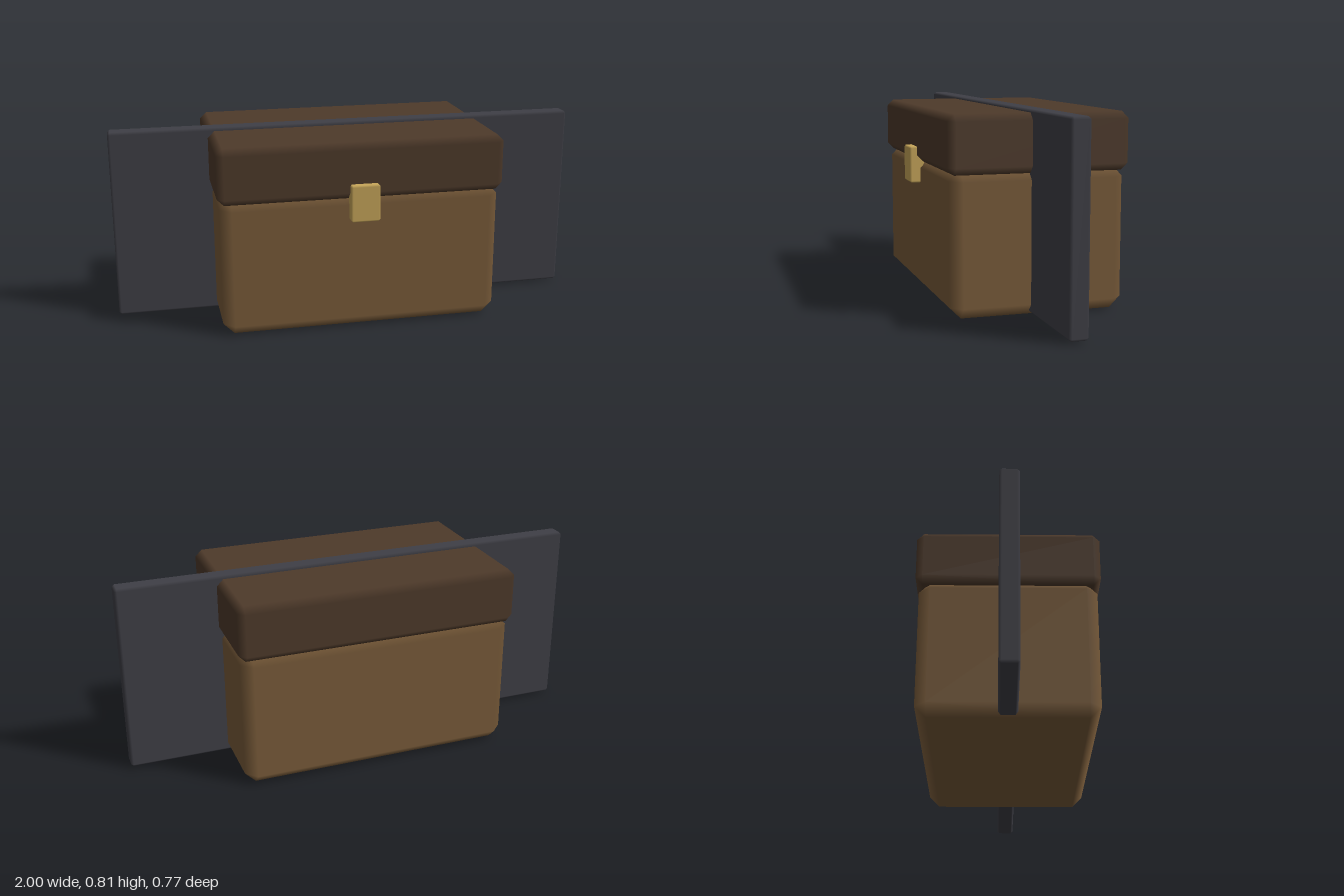
import * as THREE from 'three';

// Box with a single-segment bevel: flat faces, bevel normals blending between them
function bevelBox(w, h, d, c) {
  const geo = new THREE.BoxGeometry(w, h, d);
  const pos = geo.attributes.position, nor = geo.attributes.normal;
  const index = Array.from(geo.index.array);
  const lookup = {};
  for (let i = 0; i < pos.count; i++) {
    const p = new THREE.Vector3().fromBufferAttribute(pos, i).toArray();
    const n = new THREE.Vector3().fromBufferAttribute(nor, i).toArray();
    const axis = n.findIndex((v) => Math.abs(v) > 0.5);
    lookup[p.map(Math.sign).join() + '|' + axis] = i;
    // pull the corner in along the two axes lying in its face
    const q = p.map((v, a) => (a === axis ? v : v - Math.sign(v) * c));
    pos.setXYZ(i, ...q);
  }
  const at = (s, axis) => lookup[s.join() + '|' + axis];
  const tri = (a, b, e, flip) => index.push(...(flip ? [a, e, b] : [a, b, e]));
  const signs = [-1, 1];

  // bevel strips along the twelve edges
  for (let k = 0; k < 3; k++) {
    const i = (k + 1) % 3, j = (k + 2) % 3;
    for (const si of signs) for (const sj of signs) {
      const a = [], b = [];
      a[i] = b[i] = si;
      a[j] = b[j] = sj;
      a[k] = -1;
      b[k] = 1;
      const flip = si * sj < 0;
      tri(at(a, i), at(a, j), at(b, j), flip);
      tri(at(a, i), at(b, j), at(b, i), flip);
    }
  }
  // corner triangles
  for (const x of signs) for (const y of signs) for (const z of signs) {
    const s = [x, y, z];
    tri(at(s, 0), at(s, 1), at(s, 2), x * y * z < 0);
  }
  geo.setIndex(index);
  geo.clearGroups();
  return geo;
}

export function createModel() {
  const group = new THREE.Group();
  group.name = 'beltPouch';

  const part = (name, color, [w, h, d], [x, y, z], bevel) => {
    const mesh = new THREE.Mesh(
      bevelBox(w, h, d, bevel),
      new THREE.MeshStandardMaterial({ color })
    );
    mesh.name = name;
    mesh.position.set(x, y, z);
    group.add(mesh);
  };

  // leather pouch and its overhanging flap
  part('pouchBody', 0x7a5c3a, [1.164, 0.582, 0.712], [0, 0.291, -0.015], 0.045);
  part('flap', 0x4e3a2a, [1.186, 0.233, 0.738], [0, 0.679, -0.015], 0.028);
  // broad belt plate running through the pouch
  part('belt', 0x3f3f46, [2, 0.8, 0.076], [0, 0.408, -0.015], 0.01);
  // brass clasp on the front of the flap
  part('clasp', 0xc8a75a, [0.12, 0.153, 0.06], [0, 0.551, 0.354], 0.007);

  return group;
}
